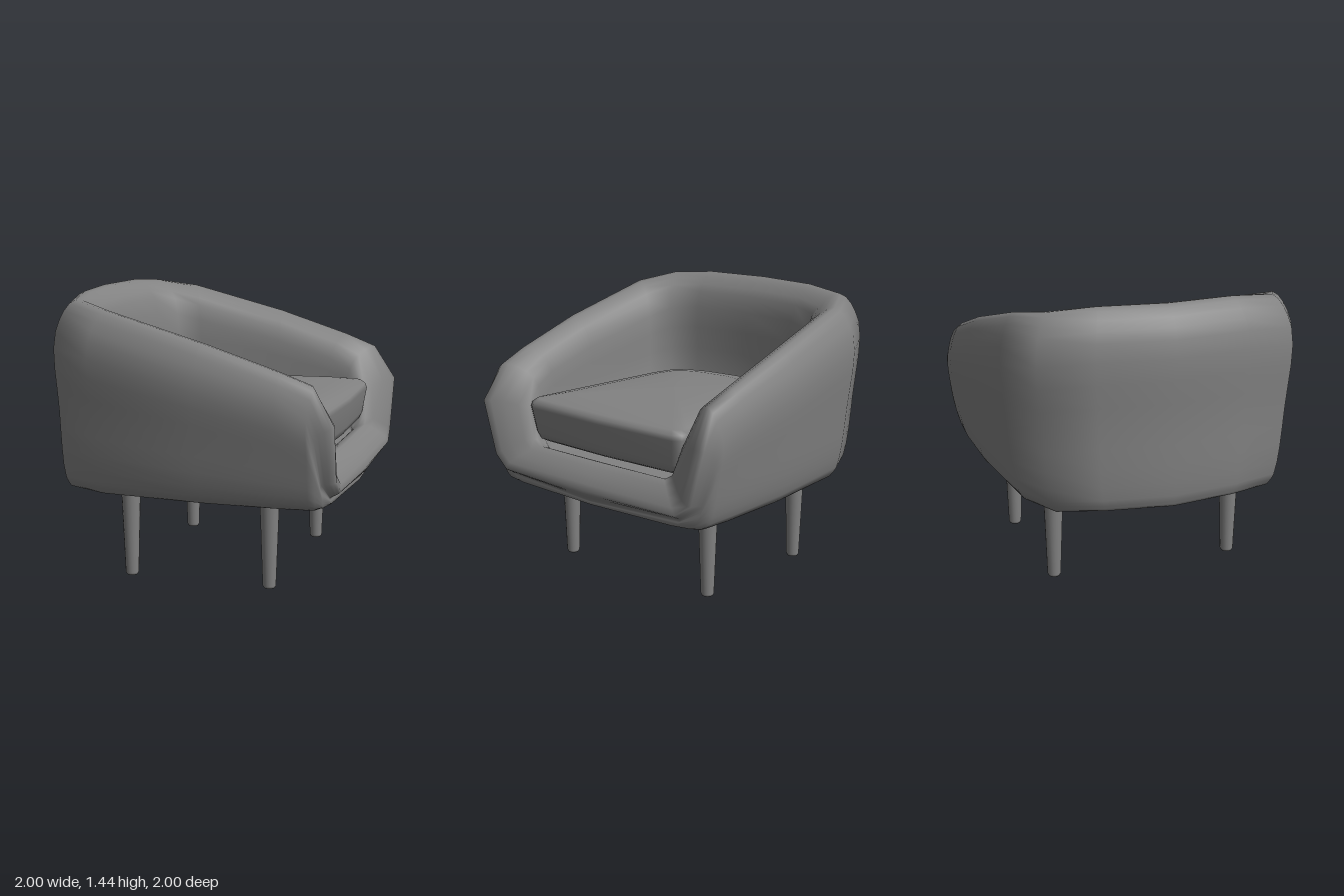
import * as THREE from 'three';

const material = new THREE.MeshStandardMaterial({ color: 0x828282, side: THREE.DoubleSide });
const V = (x, y, z) => new THREE.Vector3(x, y, z);

// Half loop (back centre to front centre) completed with its mirror image.
const mirrorLoop = (half, flip) => [...half, ...half.slice(1, -1).reverse().map(flip)];

// Skin a closed loop of profiles, each running from the underside centre to the top centre.
function skin(profiles) {
  const n = profiles.length, m = profiles[0].length;
  const index = [];
  for (let i = 0; i < n; i++) {
    for (let j = 0; j < m - 1; j++) {
      const a = i * m + j, b = ((i + 1) % n) * m + j;
      // The end points meet at a pole, so only one triangle is needed there
      if (j < m - 2) index.push(a, a + 1, b + 1);
      else index.push(a, a + 1, b);
      if (j > 0 && j < m - 2) index.push(a, b + 1, b);
    }
  }
  const geometry = new THREE.BufferGeometry().setFromPoints(profiles.flat());
  geometry.setIndex(index);
  geometry.computeVertexNormals();
  return geometry;
}

function part(name, geometry) {
  const mesh = new THREE.Mesh(geometry, material);
  mesh.name = name;
  return mesh;
}

// Shell: each station gives outer shoulder, rim crest and inner shoulder.
function shellGeometry() {
  const stations = [
    [0, 1.29, -0.88, 0, 1.44, -0.77, 0, 1.34, -0.64],
    [0.38, 1.29, -0.83, 0.34, 1.44, -0.73, 0.33, 1.34, -0.61],
    [0.64, 1.27, -0.76, 0.57, 1.42, -0.68, 0.49, 1.32, -0.545],
    [0.75, 1.24, -0.54, 0.67, 1.385, -0.48, 0.55, 1.28, -0.42],
    [0.79, 1.1, 0, 0.71, 1.25, 0.03, 0.58, 1.16, 0.05],
    [0.78, 0.99, 0.4, 0.71, 1.13, 0.41, 0.58, 1.06, 0.36],
    [0.765, 0.92, 0.55, 0.7, 1.07, 0.57, 0.56, 1.0, 0.48],
    [0.755, 0.83, 0.585, 0.73, 0.89, 0.68, 0.525, 0.85, 0.55],
    [0.69, 0.6, 0.61, 0.655, 0.61, 0.675, 0.475, 0.7, 0.57],
    [0.57, 0.51, 0.625, 0.58, 0.55, 0.68, 0.43, 0.67, 0.575],
    [0, 0.49, 0.65, 0, 0.55, 0.69, 0, 0.665, 0.575],
  ];
  const loop = mirrorLoop(stations, (s) => s.map((v, k) => (k % 3 === 0 ? -v : v)));
  return skin(loop.map(([ox, oy, oz, px, py, pz, ix, iy, iz]) => {
    const wall = (t, fx, fz) => V(ox * fx, 0.465 + (oy - 0.465) * t, oz * fz);
    const inner = (t, f) => V(ix * f, 0.63 + (iy - 0.63) * t, iz * (iz > 0 ? 0.9 : f));
    const curve = new THREE.CatmullRomCurve3([
      wall(0, 0.86, 0.97), wall(0.07, 0.905, 0.99), wall(0.5, 0.97, 1),
      V(ox, oy, oz), V(px, py, pz), V(ix, iy, iz),
      inner(0.4, 0.93), inner(0, 0.83),
    ], false, 'centripetal');
    const points = [];
    for (let k = 0; k <= 28; k++) points.push(curve.getPoint(k / 28));
    return [V(0, 0.46, -0.1), ...points, V(0, 0.62, 0)];
  }));
}

// Seat cushion: a tapered outline scaled through layers of [scale, height].
function cushionGeometry() {
  const half = [[0, -0.56], [0.2, -0.54], [0.32, -0.5], [0.385, -0.44], [0.42, -0.32],
    [0.515, 0.5], [0.515, 0.545], [0.475, 0.575], [0, 0.59]];
  const layers = [[0, 0.69], [0.9, 0.69], [0.94, 0.705], [0.965, 0.74], [1, 0.87],
    [0.99, 0.895], [0.95, 0.915], [0.75, 0.935], [0.4, 0.945], [0, 0.95]];
  return skin(mirrorLoop(half, ([x, z]) => [-x, z])
    .map(([x, z]) => layers.map(([s, y]) => V(x * s, y, z * s))));
}

export function createModel() {
  const model = new THREE.Group();
  model.name = 'tubArmchair';
  const chair = new THREE.Group();
  chair.name = 'chair';
  chair.rotation.y = Math.PI / 4;
  model.add(chair);

  chair.add(part('shell', shellGeometry()), part('seatCushion', cushionGeometry()));

  // Tapered round legs with a small bevel at the foot
  const legGeometry = new THREE.LatheGeometry(
    [[0, 0], [0.028, 0], [0.034, 0.012], [0.05, 0.46], [0.05, 0.49]]
      .map(([r, y]) => new THREE.Vector2(r, y)), 16);
  for (const [side, x] of [['left', 0.475], ['right', -0.475]]) {
    for (const [end, z] of [['Front', 0.297], ['Back', -0.44]]) {
      const leg = part(`${side}${end}Leg`, legGeometry);
      leg.position.set(x, 0, z);
      chair.add(leg);
    }
  }
  return model;
}
